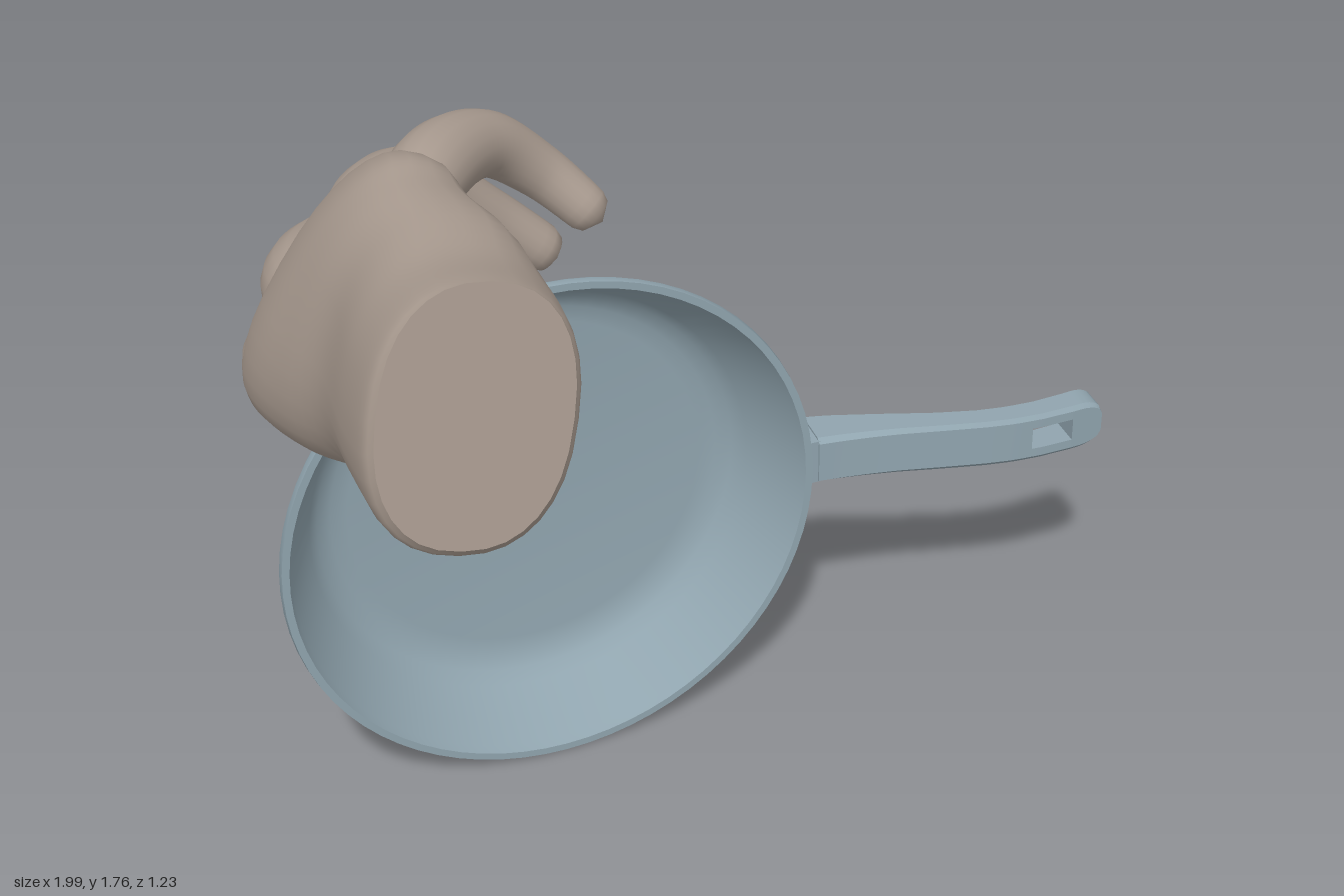
import * as THREE from 'three';
import { mergeVertices, toCreasedNormals } from 'three/addons/utils/BufferGeometryUtils.js';

const metal = new THREE.MeshStandardMaterial({ color: 0x90a4ae });
const skin = new THREE.MeshStandardMaterial({ color: 0xa89a8f });

function part(name, geometry, material) {
  const mesh = new THREE.Mesh(geometry, material);
  mesh.name = name;
  return mesh;
}

// Linear lookup in rows of [key, a, b, ...] with rising keys
function lookup(rows, key, column) {
  let i = 0;
  while (i < rows.length - 2 && key > rows[i + 1][0]) i++;
  const t = THREE.MathUtils.clamp((key - rows[i][0]) / (rows[i + 1][0] - rows[i][0]), 0, 1);
  return THREE.MathUtils.lerp(rows[i][column], rows[i + 1][column], t);
}

function smooth(geometry) {
  geometry.deleteAttribute('normal');
  geometry.deleteAttribute('uv');
  const merged = mergeVertices(geometry, 1e-4);
  merged.computeVertexNormals();
  return merged;
}

// Rounded, tapering tube through points given as [x, y, z, radius]
function digit(name, points) {
  const rings = 40, sides = 18;
  const path = new THREE.CatmullRomCurve3(points.map(p => new THREE.Vector3(p[0], p[1], p[2])));
  const width = new THREE.CatmullRomCurve3(points.map((p, i) => new THREE.Vector3(i, p[3], 0)));
  const geometry = new THREE.TubeGeometry(path, rings, 1, sides);
  const length = path.getLength(), tip = points[points.length - 1][3];
  const pos = geometry.attributes.position, v = new THREE.Vector3();
  for (let i = 0; i <= rings; i++) {
    const u = i / rings, centre = path.getPointAt(u);
    const left = Math.min(1, (1 - u) * length / tip);
    const r = i === 0 ? 0 : width.getPoint(path.getUtoTmapping(u)).y * Math.sqrt(1 - (1 - left) ** 2);
    for (let j = 0; j <= sides; j++) {
      const k = i * (sides + 1) + j;
      v.fromBufferAttribute(pos, k).sub(centre).multiplyScalar(r).add(centre);
      pos.setXYZ(k, v.x, v.y, v.z);
    }
  }
  return part(name, smooth(geometry), skin);
}

// Palm and wrist: tilted oval sections running from the wrist to the knuckles
function palm() {
  // z, centre x, centre y, half height, half thickness, tilt, shear, hollow
  const stations = [
    [0.57, -0.69, 1.515, 0.25, 0.18, 0.2, -0.15, 0],
    [0.53, -0.69, 1.495, 0.262, 0.198, 0.2, -0.14, 0],
    [0.38, -0.685, 1.465, 0.265, 0.207, 0.2, -0.08, 0],
    [0.20, -0.69, 1.45, 0.285, 0.195, 0.28, 0, 0.15],
    [0.05, -0.74, 1.43, 0.315, 0.172, 0.38, 0.05, 0.38],
    [-0.08, -0.77, 1.42, 0.338, 0.152, 0.47, 0.15, 0.4],
    [-0.20, -0.78, 1.395, 0.325, 0.125, 0.5, 0.2, 0.2],
    [-0.28, -0.765, 1.37, 0.275, 0.095, 0.5, 0.2, 0],
    [-0.34, -0.735, 1.35, 0.2, 0.05, 0.5, 0.2, 0],
  ];
  const curves = stations[0].map((_, c) => new THREE.CatmullRomCurve3(
    stations.map((s, i) => new THREE.Vector3(i, s[c], 0))));
  const rings = 36, sides = 32, positions = [], index = [];
  const fuller = v => Math.sign(v) * Math.abs(v) ** 0.85;
  const ring = u => {
    const [z, cx, cy, h, w, tilt, shear, hollow] = curves.map(c => c.getPoint(u).y);
    for (let j = 0; j < sides; j++) {
      const a = j / sides * Math.PI * 2, c = fuller(Math.cos(a)), s = fuller(Math.sin(a));
      const across = w * c * (c > 0 ? 1 - hollow * c * c : 1), along = h * s;
      positions.push(cx + across * Math.cos(tilt) + along * Math.sin(tilt),
        cy - across * Math.sin(tilt) + along * Math.cos(tilt), z + shear * along);
    }
  };
  const cap = (u, start, flip) => {
    const centre = positions.length / 3;
    positions.push(...[1, 2, 0].map(c => curves[c].getPoint(u).y));
    for (let j = 0; j < sides; j++) {
      const a = start + j, b = start + (j + 1) % sides;
      index.push(centre, flip ? b : a, flip ? a : b);
    }
  };
  for (let i = 0; i <= rings; i++) ring(i / rings);
  for (let i = 0; i < rings; i++) for (let j = 0; j < sides; j++) {
    const a = i * sides + j, b = i * sides + (j + 1) % sides;
    index.push(a, a + sides, b, b, a + sides, b + sides);
  }
  cap(1, rings * sides, true);
  // Flat wrist end on its own ring, so its edge stays sharp
  const start = positions.length / 3;
  ring(0);
  cap(0, start, false);
  const geometry = new THREE.BufferGeometry();
  geometry.setAttribute('position', new THREE.Float32BufferAttribute(positions, 3));
  geometry.setIndex(index);
  geometry.computeVertexNormals();
  return part('palm', geometry, skin);
}

function hand() {
  const group = new THREE.Group();
  group.name = 'hand';
  group.add(
    palm(),
    digit('thumb', [[-0.7, 1.42, 0.5, 0.1], [-0.68, 1.31, 0.35, 0.175], [-0.635, 1.22, 0.18, 0.165],
      [-0.56, 1.1, 0.02, 0.125], [-0.48, 1.03, -0.11, 0.086], [-0.415, 1.0, -0.21, 0.065], [-0.36, 0.97, -0.32, 0.053]]),
    digit('indexFinger', [[-0.84, 1.27, 0.02, 0.04], [-0.89, 1.21, -0.2, 0.093], [-0.83, 1.16, -0.41, 0.085],
      [-0.67, 1.06, -0.54, 0.068], [-0.5, 0.97, -0.57, 0.052]]),
    digit('middleFinger', [[-0.78, 1.38, 0.02, 0.04], [-0.83, 1.36, -0.26, 0.095], [-0.69, 1.32, -0.47, 0.08],
      [-0.49, 1.18, -0.55, 0.066], [-0.32, 1.06, -0.565, 0.052]]),
    digit('ringFinger', [[-0.74, 1.46, 0.05, 0.04], [-0.71, 1.5, -0.22, 0.09], [-0.57, 1.47, -0.42, 0.075],
      [-0.41, 1.34, -0.475, 0.06], [-0.26, 1.21, -0.47, 0.052]]),
    digit('littleFinger', [[-0.7, 1.54, 0.1, 0.03], [-0.61, 1.62, -0.13, 0.08], [-0.45, 1.595, -0.3, 0.069],
      [-0.33, 1.5, -0.335, 0.058], [-0.21, 1.385, -0.28, 0.048]]),
  );
  return group;
}

// Pan bowl: outer wall, rolled rim and inner wall in one turned profile
function bowl() {
  const profile = [[0, -0.225], [0.4, -0.225], [0.44, -0.221], [0.475, -0.207], [0.5, -0.18],
    [0.53, -0.135], [0.6, -0.03], [0.617, -0.028], [0.623, -0.015], [0.621, 0], [0.604, 0],
    [0.595, -0.02], [0.52, -0.15], [0.495, -0.18], [0.46, -0.198], [0.42, -0.203], [0, -0.203]];
  const geometry = new THREE.LatheGeometry(profile.map(p => new THREE.Vector2(...p)), 72);
  geometry.rotateX(Math.PI / 2);
  const mesh = part('bowl', toCreasedNormals(geometry, 0.6), metal);
  mesh.position.set(-0.335, 0.625, -0.293);
  mesh.rotation.y = 0.068;
  return mesh;
}

// Bent bar from x0 to x1; only its outer long edges are bevelled
function handleBar(name, x0, x1, y0, y1, steps) {
  const half = 0.06, low = y0 === -half ? 0.01 : 0, high = y1 === half ? 0.01 : 0, t = 0.12;
  const outline = [[0, y0 + low], [t, y0], [1 - t, y0], [1, y0 + low],
    [1, y1 - high], [1 - t, y1], [t, y1], [0, y1 - high]];
  const shape = new THREE.Shape(outline.map(p => new THREE.Vector2(...p)));
  const geometry = new THREE.ExtrudeGeometry(shape, { depth: x1 - x0, steps, bevelEnabled: false });
  // x, back z, front z
  const bend = [[0.31, -0.482, -0.36], [0.36, -0.472, -0.357], [0.43, -0.45, -0.35], [0.5, -0.428, -0.34],
    [0.6, -0.395, -0.32], [0.7, -0.371, -0.301], [0.77, -0.363, -0.292], [0.84, -0.363, -0.291],
    [0.92, -0.373, -0.297], [1, -0.387, -0.308]];
  const pos = geometry.attributes.position;
  for (let i = 0; i < pos.count; i++) {
    const x = x0 + pos.getZ(i), u = Math.max(0, (x - 0.94) / 0.06);
    const round = 0.45 + 0.55 * Math.sqrt(Math.max(0, 1 - u * u));
    // The outline runs from the front face to the back face
    pos.setXYZ(i, x, pos.getY(i) * round, THREE.MathUtils.lerp(lookup(bend, x, 2), lookup(bend, x, 1), pos.getX(i)));
  }
  return part(name, toCreasedNormals(geometry, 0.5), metal);
}

// Handle: solid grip, two rails beside the hanging slot, rounded end
function handle() {
  const group = new THREE.Group();
  group.name = 'handle';
  group.position.y = 0.625;
  const neckShape = new THREE.Shape([[0.183, 0.47], [0.265, 0.362], [0.315, 0.366], [0.315, 0.476]]
    .map(p => new THREE.Vector2(...p)));
  const neck = new THREE.ExtrudeGeometry(neckShape, { depth: 0.11, bevelEnabled: false });
  neck.rotateX(-Math.PI / 2).translate(0, -0.055, 0);
  group.add(
    part('neck', neck, metal),
    handleBar('grip', 0.31, 0.815, -0.06, 0.06, 18),
    handleBar('lowerSlotRail', 0.815, 0.92, -0.06, -0.028, 4),
    handleBar('upperSlotRail', 0.815, 0.92, 0.028, 0.06, 4),
    handleBar('handleEnd', 0.92, 1, -0.06, 0.06, 12),
  );
  return group;
}

export function createModel() {
  const model = new THREE.Group();
  model.name = 'handHoldingPan';
  const pan = new THREE.Group();
  pan.name = 'pan';
  pan.add(bowl(), handle());
  model.add(pan, hand());
  return model;
}
